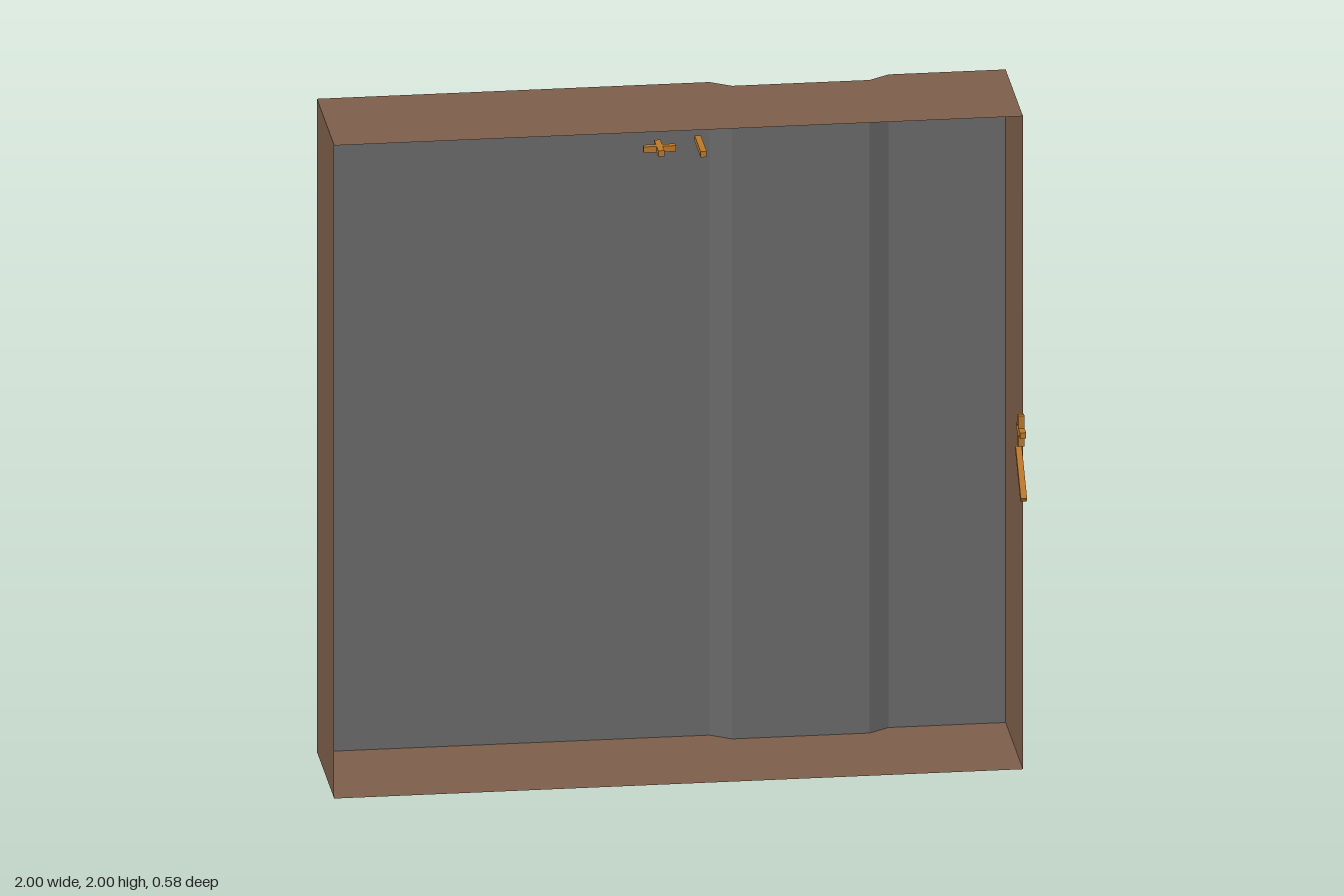
import * as THREE from 'three';

export function createModel() {
  const model = new THREE.Group();
  const grey = new THREE.MeshStandardMaterial({ name: 'grey panel', color: 0x686868, side: THREE.DoubleSide, flatShading: true });
  const brown = new THREE.MeshStandardMaterial({ name: 'brown wall', color: 0x7c5d4a, side: THREE.DoubleSide, flatShading: true });
  const orange = new THREE.MeshStandardMaterial({ name: 'orange marker', color: 0xb9762a });

  const add = (name, geometry, material, parent = model) => {
    const mesh = new THREE.Mesh(geometry, material);
    mesh.name = name;
    parent.add(mesh);
    return mesh;
  };

  const height = 2, front = 0.11, back = -0.29, step = -0.25;
  // plan of the back panel, with its shallow channel, as [x, z]
  const profile = [[-1, back], [0.14, back], [0.2, step], [0.6, step], [0.66, back], [1, back]];

  // back panel: one upright strip per profile segment
  const backPanel = new THREE.Group();
  backPanel.name = 'backPanel';
  model.add(backPanel);
  for (let i = 0; i < profile.length - 1; i++) {
    const [x0, z0] = profile[i], [x1, z1] = profile[i + 1];
    const strip = add('backStrip', new THREE.PlaneGeometry(Math.hypot(x1 - x0, z1 - z0), height), grey, backPanel);
    strip.position.set((x0 + x1) / 2, height / 2, (z0 + z1) / 2);
    strip.rotation.y = -Math.atan2(z1 - z0, x1 - x0);
  }

  // floor and ceiling sheets follow the same plan; the front stays open
  const plan = new THREE.Shape([...profile, [1, front], [-1, front]].map(([x, z]) => new THREE.Vector2(x, z)));
  for (const [name, y] of [['floor', 0], ['ceiling', height]]) {
    add(name, new THREE.ShapeGeometry(plan).rotateX(Math.PI / 2), brown).position.y = y;
  }

  // thin side walls
  for (const [name, side] of [['leftWall', 1], ['rightWall', -1]]) {
    const wall = add(name, new THREE.PlaneGeometry(front - back, height), brown);
    wall.position.set(side, height / 2, (front + back) / 2);
    wall.rotation.y = side * Math.PI / 2;
  }

  // small floating markers: a cross and a tick, drawn flat with bars
  const marker = (name, bars) => {
    const group = new THREE.Group();
    group.name = name;
    for (const [x, y, length, angle] of bars) {
      const bar = add('bar', new THREE.BoxGeometry(length, 0.018, 0.018), orange, group);
      bar.position.set(x, y, 0);
      bar.rotation.z = angle;
    }
    model.add(group);
    return group;
  };
  const cross = (x, y) => [[x, y, 0.094, 0], [x, y, 0.094, Math.PI / 2]];

  const topMarker = marker('topMarker', [...cross(-0.07, 0), [0.05, 0, 0.135, Math.PI / 2]]);
  topMarker.position.set(0, 1.99, 0.222);
  topMarker.rotation.x = -Math.PI / 2;

  const sideMarker = marker('sideMarker', [...cross(0, 0.08), [0, -0.053, 0.17, 0.76]]);
  sideMarker.position.set(0.98, 1, 0.225);
  sideMarker.rotation.y = Math.PI / 2;

  return model;
}
